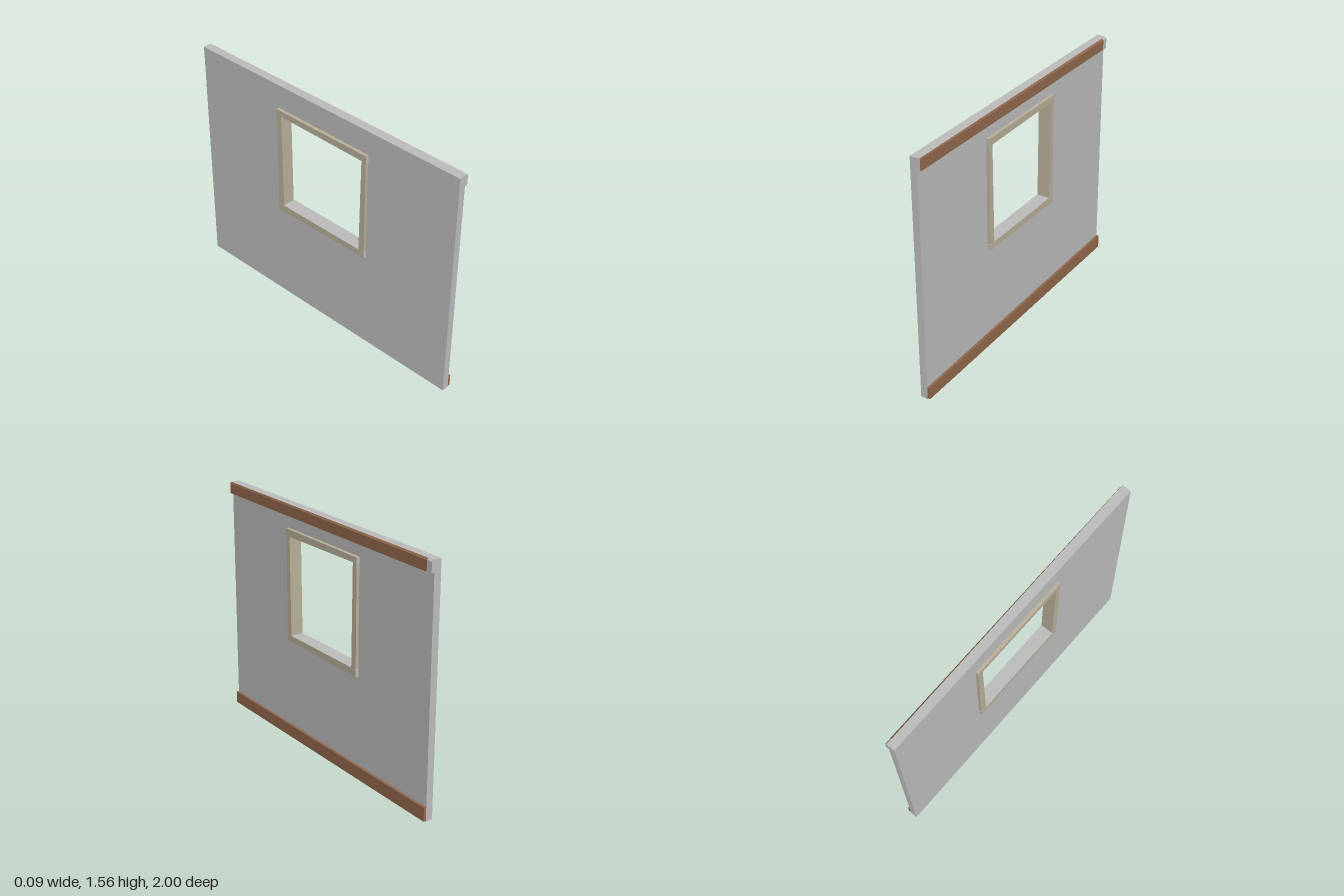
import * as THREE from 'three';

const mat = (name, color) => Object.assign(new THREE.MeshStandardMaterial({ color }), { name });

export function createModel() {
  const plaster = mat('greyPlaster', 0xbcbcbc);
  const wood = mat('brownWood', 0x91684c);
  const frame = mat('beigeFrame', 0xb8af9a);
  const group = new THREE.Group();
  group.name = 'windowWall';

  const add = (name, geometry, material) => {
    const mesh = new THREE.Mesh(geometry, material);
    mesh.name = name;
    group.add(mesh);
  };

  // Slightly uneven hand-cut beam; materials run +x, -x, +y, -y, +z, -z
  const beam = (name, x, y, z, materials, rule = () => {}, rows = 1) => {
    const geo = new THREE.BoxGeometry(1, 1, 1, 1, rows, 1).toNonIndexed();
    const p = geo.attributes.position;
    const v = new THREE.Vector3();
    for (let i = 0; i < p.count; i++) {
      const s = new THREE.Vector3().fromBufferAttribute(p, i).addScalar(0.5);
      v.set(
        THREE.MathUtils.lerp(x[0], x[1], s.x),
        THREE.MathUtils.lerp(y[0], y[1], s.y),
        THREE.MathUtils.lerp(z[0], z[1], s.z)
      );
      rule(v, s);
      p.setXYZ(i, v.x, v.y, v.z);
    }
    geo.computeVertexNormals();
    add(name, geo, materials);
  };

  // Wall panel with window opening
  const rect = (T, x0, y0, x1, y1) =>
    new T([[x0, y0], [x1, y0], [x1, y1], [x0, y1]].map(([a, b]) => new THREE.Vector2(a, b)));
  const outline = rect(THREE.Shape, -1, 0, 1, 1.56);
  outline.holes.push(rect(THREE.Path, -0.335, 0.695, 0.335, 1.385));
  const wallGeo = new THREE.ExtrudeGeometry(outline, { depth: 0.046, bevelEnabled: false });
  wallGeo.rotateY(Math.PI / 2).translate(-0.025, 0, 0);
  add('wall', wallGeo, plaster);

  // Skirting board, slightly taller towards the back
  beam('skirtingBoard', [0.02, 0.038], [0.005, 0.083], [-1, 1], wood, (v, s) => {
    if (s.y > 0.5) v.y += 0.01 * (1 - s.z);
  });

  // Top moulding with a chamfered upper edge, ending in a plaster block
  const crownRule = (v, s) => {
    if (s.y > 0.25 && s.y < 0.75) v.y = 1.55;
    if (s.y > 0.75 && s.x > 0.5) v.x = 0.03 + 0.003 * (v.z + 1);
    if (s.y < 0.25 && s.x < 0.5) v.y += 0.003;
  };
  beam('topMoulding', [0.02, 0.04], [1.485, 1.56], [-0.96, 1],
    [wood, wood, plaster, wood, plaster, plaster], crownRule, 2);
  beam('topMouldingEnd', [0.02, 0.04], [1.485, 1.56], [-1, -0.96], plaster, crownRule, 2);

  // Window frame rails, with plaster-grey ends and inner faces
  const depth = [-0.045, 0.042];
  beam('frameTopRail', depth, [1.358, 1.405], [-0.355, 0.36],
    [frame, frame, frame, plaster, plaster, plaster], (v, s) => {
      if (s.y < 0.5) v.y += 0.01 * (1 - s.z);
    });
  beam('frameSill', depth, [0.675, 0.716], [-0.355, 0.36],
    [frame, frame, plaster, plaster, plaster, plaster], (v, s) => {
      if (s.y < 0.5) v.y -= 0.007 * (1 - s.z);
    });

  // Window frame posts, leaning a little on the inside edge
  const post = [-0.0435, 0.0405];
  beam('frameFrontPost', post, [0.7, 1.365], [0.315, 0.357], frame, (v, s) => {
    if (s.z < 0.5) v.z += 0.009 * s.y;
  });
  beam('frameBackPost', post, [0.7, 1.375], [-0.353, -0.31], frame, (v, s) => {
    if (s.z > 0.5) v.z -= 0.007 * s.y;
  });

  return group;
}
